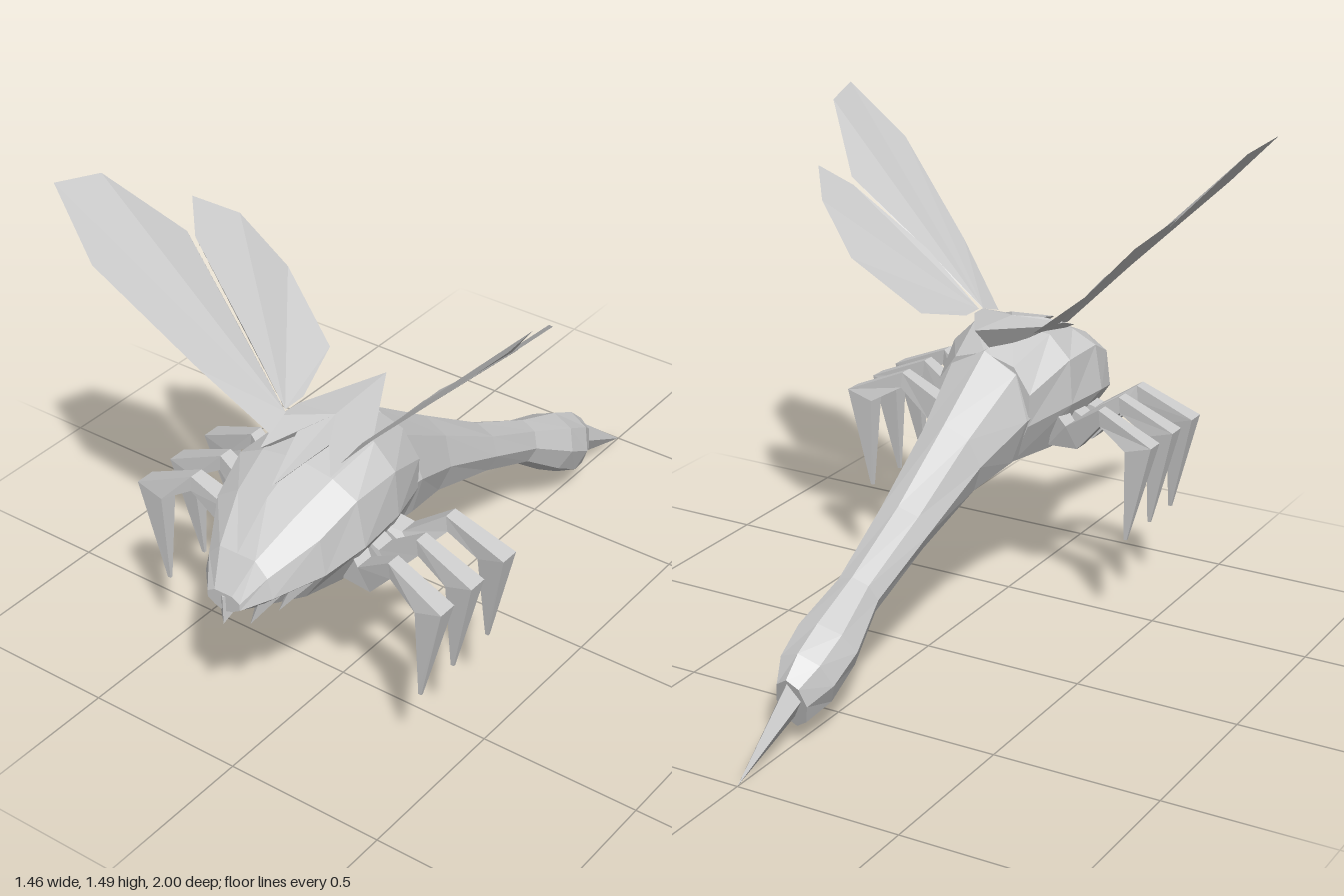
import * as THREE from 'three';

const material = new THREE.MeshStandardMaterial({ color: 0xcccccc, flatShading: true });
const thinMaterial = new THREE.MeshStandardMaterial({ color: 0xcccccc, flatShading: true, side: THREE.DoubleSide });

function meshFrom(name, triangles, mat = material) {
  const geometry = new THREE.BufferGeometry();
  geometry.setAttribute('position', new THREE.Float32BufferAttribute(triangles.flat(2), 3));
  geometry.computeVertexNormals();
  const mesh = new THREE.Mesh(geometry, mat);
  mesh.name = name;
  return mesh;
}

const centre = ring => [0, 1, 2].map(k => ring.reduce((sum, p) => sum + p[k], 0) / ring.length);

// Closed skin over a row of rings, capped by fans; faces are turned outward by the sign of the volume.
function loft(name, rings, startApex = centre(rings[0]), endApex = centre(rings[rings.length - 1])) {
  const tris = [];
  const n = rings[0].length;
  for (let j = 0; j < n; j++) {
    const k = (j + 1) % n;
    tris.push([startApex, rings[0][k], rings[0][j]]);
    for (let i = 0; i < rings.length - 1; i++) {
      const [a, b] = [rings[i], rings[i + 1]];
      tris.push([a[j], a[k], b[k]], [a[j], b[k], b[j]]);
    }
    const last = rings[rings.length - 1];
    tris.push([endApex, last[j], last[k]]);
  }
  const volume = tris.reduce((sum, t) => {
    const [a, b, c] = t.map(p => new THREE.Vector3(...p));
    return sum + a.dot(b.cross(c));
  }, 0);
  if (volume < 0) tris.forEach(t => t.reverse());
  return meshFrom(name, tris);
}

// Mirrors a half outline that starts and ends on the centre line.
const mirrored = half => [...half, ...half.slice(1, -1).reverse().map(([x, y, z]) => [-x, y, z])];

// Four-sided spike from a base point to a tip
function spike(name, base, tip, w, d) {
  const [x, y, z] = base;
  return loft(name, [[[x - w, y, z], [x, y, z + d], [x + w, y, z], [x, y, z - d]]], base, tip);
}

function createThorax() {
  // z, then half outline from top to bottom
  const sections = [
    [0.33, [[0, 0.83], [0.10, 0.80], [0.155, 0.72], [0.15, 0.62], [0.10, 0.50], [0, 0.455]]],
    [0.50, [[0, 0.875], [0.13, 0.86], [0.20, 0.79], [0.21, 0.65], [0.14, 0.50], [0, 0.455]]],
    [0.67, [[0, 0.85], [0.12, 0.83], [0.20, 0.79], [0.225, 0.65], [0.14, 0.505], [0, 0.46]]],
    [0.80, [[0, 0.795], [0.10, 0.78], [0.175, 0.73], [0.19, 0.62], [0.12, 0.52], [0, 0.48]]],
    [0.93, [[0, 0.69], [0.06, 0.69], [0.10, 0.65], [0.115, 0.59], [0.06, 0.54], [0, 0.52]]],
    [0.995, [[0, 0.60], [0.03, 0.60], [0.055, 0.585], [0.055, 0.565], [0.03, 0.55], [0, 0.54]]]
  ];
  return loft('thorax', sections.map(([z, half]) => mirrored(half.map(([x, y]) => [x, y, z]))));
}

function createAbdomen() {
  // top z, top y, bottom z, bottom y, half width
  const sections = [
    [0.42, 0.84, 0.45, 0.46, 0.15], [0.33, 0.835, 0.30, 0.45, 0.155], [0.09, 0.675, 0.14, 0.435, 0.11],
    [-0.17, 0.51, -0.13, 0.36, 0.09], [-0.42, 0.385, -0.37, 0.255, 0.07], [-0.60, 0.315, -0.51, 0.15, 0.10],
    [-0.70, 0.265, -0.62, 0.08, 0.09], [-0.76, 0.21, -0.71, 0.05, 0.05]
  ];
  return loft('abdomen', sections.map(([zt, yt, zb, yb, w]) => Array.from({ length: 8 }, (_, i) => {
    const a = i * Math.PI / 4;
    const t = (1 - Math.cos(a)) / 2;
    return [w * Math.sin(a), yt + (yb - yt) * t, zt + (zb - zt) * t];
  })));
}

function createLeg(side, [hipZ, kneeZ, footZ]) {
  // lower corner, upper corner, z, half thickness
  const joints = [
    [[0.15, 0.52], [0.17, 0.63], hipZ, 0.035],
    [[0.26, 0.535], [0.22, 0.60], (hipZ + kneeZ) / 2, 0.03],
    [[0.345, 0.63], [0.34, 0.68], kneeZ, 0.022],
    [[0.44, 0.575], [0.525, 0.60], (kneeZ + footZ) / 2, 0.03],
    [[0.44, 0.29], [0.45, 0.29], footZ, 0.004]
  ];
  return loft('leg', joints.map(([[x1, y1], [x2, y2], z, d]) => [
    [side * x1, y1, z - d], [side * x2, y2, z - d], [side * x2, y2, z + d], [side * x1, y1, z + d]
  ]));
}

function createWing(name, side, outline) {
  const points = outline.map(([x, y, z]) => [side * x, y, z]);
  const tris = [];
  for (let i = 1; i < points.length - 1; i++) tris.push([points[0], points[i], points[i + 1]]);
  return meshFrom(name, tris, thinMaterial);
}

const frontWing = [
  [0.13, 0.885, 0.555], [0.31, 1.06, 0.515], [0.54, 1.27, 0.455], [0.70, 1.465, 0.605],
  [0.73, 1.49, 0.755], [0.56, 1.32, 0.81], [0.29, 1.045, 0.715], [0.12, 0.86, 0.635]
];
const rearWing = [
  [0.14, 0.885, 0.545], [0.30, 1.06, 0.51], [0.525, 1.25, 0.44], [0.60, 1.32, 0.36],
  [0.52, 1.245, 0.255], [0.39, 1.095, 0.21], [0.19, 0.935, 0.28], [0.14, 0.885, 0.465]
];

export function createModel() {
  const model = new THREE.Group();
  model.name = 'insect';
  model.add(createThorax(), createAbdomen());

  // Jagged plate over the back, rising to a point behind
  const crestOutline = mirrored([
    [0, 0.915, 0.27], [0.13, 0.885, 0.50], [0.14, 0.88, 0.57], [0.12, 0.84, 0.68], [0.055, 0.875, 0.60], [0, 0.82, 0.78]
  ]);
  model.add(loft('backCrest', [crestOutline], [0, 0.80, 0.40], [0, 0.90, 0.50]));

  // Stinger
  const stingerBase = [[0, 0.21, -0.74], [0.035, 0.15, -0.73], [0, 0.09, -0.70], [-0.035, 0.15, -0.73]];
  model.add(loft('stinger', [stingerBase], centre(stingerBase), [0, 0, -1]));

  // Beak and mouth parts
  model.add(spike('beak', [0, 0.59, 0.965], [0, 0.50, 1.0], 0.05, 0.035));
  for (const side of [1, -1]) {
    model.add(spike('mandible', [side * 0.08, 0.58, 0.90], [side * 0.05, 0.49, 0.95], 0.035, 0.04));
    model.add(spike('palp', [side * 0.13, 0.60, 0.82], [side * 0.10, 0.52, 0.89], 0.035, 0.05));

    // Legs, front to rear: hip, knee and foot depth
    for (const depths of [[0.64, 0.70, 0.725], [0.575, 0.575, 0.575], [0.50, 0.44, 0.41]]) {
      model.add(createLeg(side, depths));
    }
    model.add(createWing('frontWing', side, frontWing), createWing('rearWing', side, rearWing));
  }
  return model;
}
